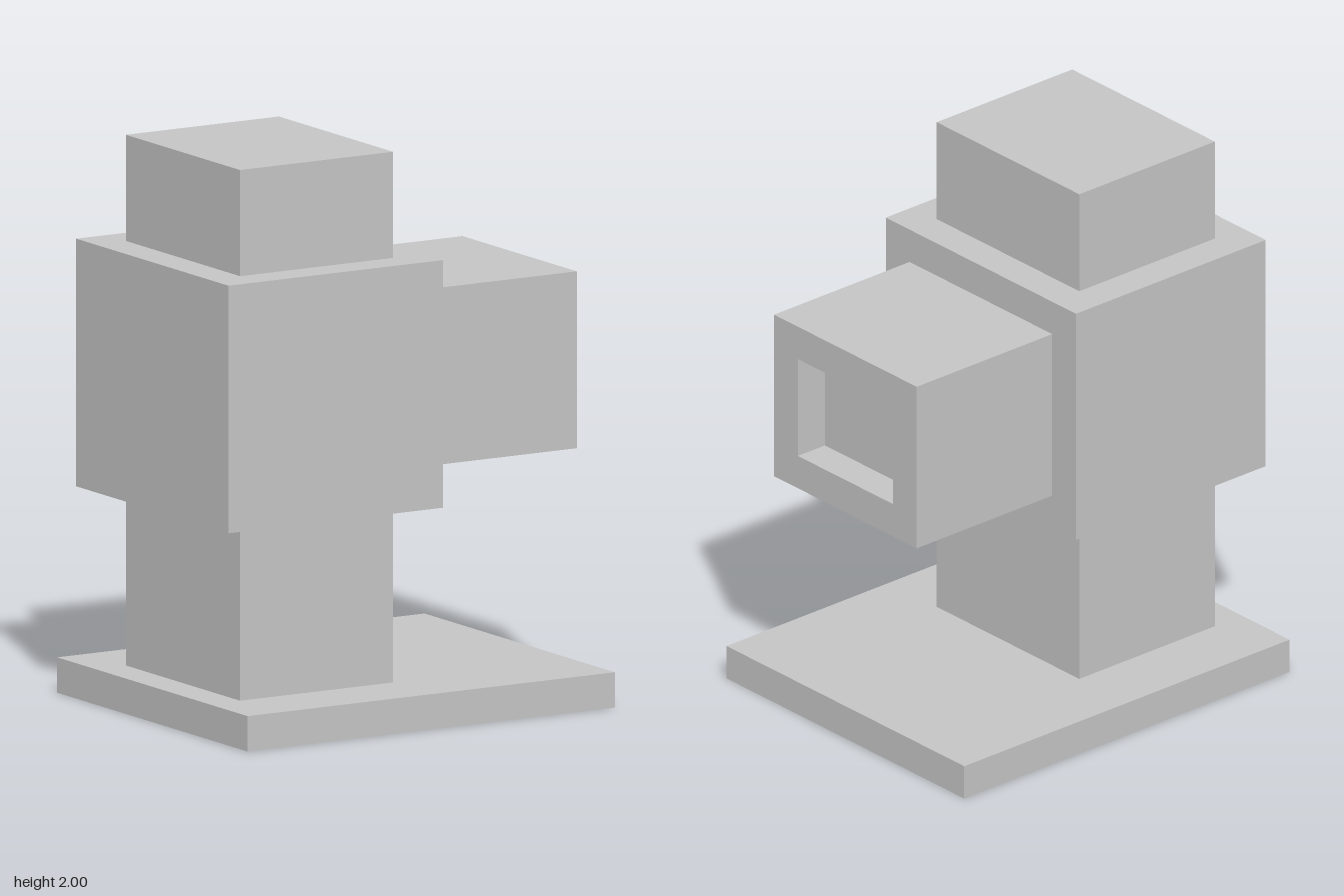
import * as THREE from 'three';

export function createModel() {
  const group = new THREE.Group();
  const grey = new THREE.MeshStandardMaterial({ color: 0xc4c4c4 });
  grey.name = 'lightGrey';

  const add = (name, geometry) => {
    const mesh = new THREE.Mesh(geometry, grey);
    mesh.name = name;
    group.add(mesh);
    return mesh;
  };

  // Box given by its limits in x and y, centred on z = 0
  const block = (name, x0, x1, y0, y1, depth) =>
    add(name, new THREE.BoxGeometry(x1 - x0, y1 - y0, depth))
      .position.set((x0 + x1) / 2, (y0 + y1) / 2, 0);

  block('basePlate', -0.75, 0.75, 0, 0.125, 1.25);
  block('lowerColumn', -0.625, 0, 0.125, 0.75, 0.75);
  block('body', -0.75, 0.125, 0.75, 1.625, 1);
  block('topBlock', -0.625, 0, 1.625, 2, 0.75);

  // Side arm: rectangular sleeve with an opening in its outer end
  const rect = (Path, w, h) => new Path([
    new THREE.Vector2(-w / 2, -h / 2), new THREE.Vector2(w / 2, -h / 2),
    new THREE.Vector2(w / 2, h / 2), new THREE.Vector2(-w / 2, h / 2),
  ]);
  const section = rect(THREE.Shape, 0.75, 0.625);
  section.holes.push(rect(THREE.Path, 0.5, 0.375));
  const sleeve = new THREE.ExtrudeGeometry(section, { depth: 0.625, bevelEnabled: false });
  sleeve.rotateY(Math.PI / 2);
  add('sideArm', sleeve).position.set(0.125, 1.1875, 0);

  // Back wall of the shallow recess
  const wall = new THREE.PlaneGeometry(0.5, 0.375);
  wall.rotateY(Math.PI / 2);
  add('recessWall', wall).position.set(0.625, 1.1875, 0);

  return group;
}
